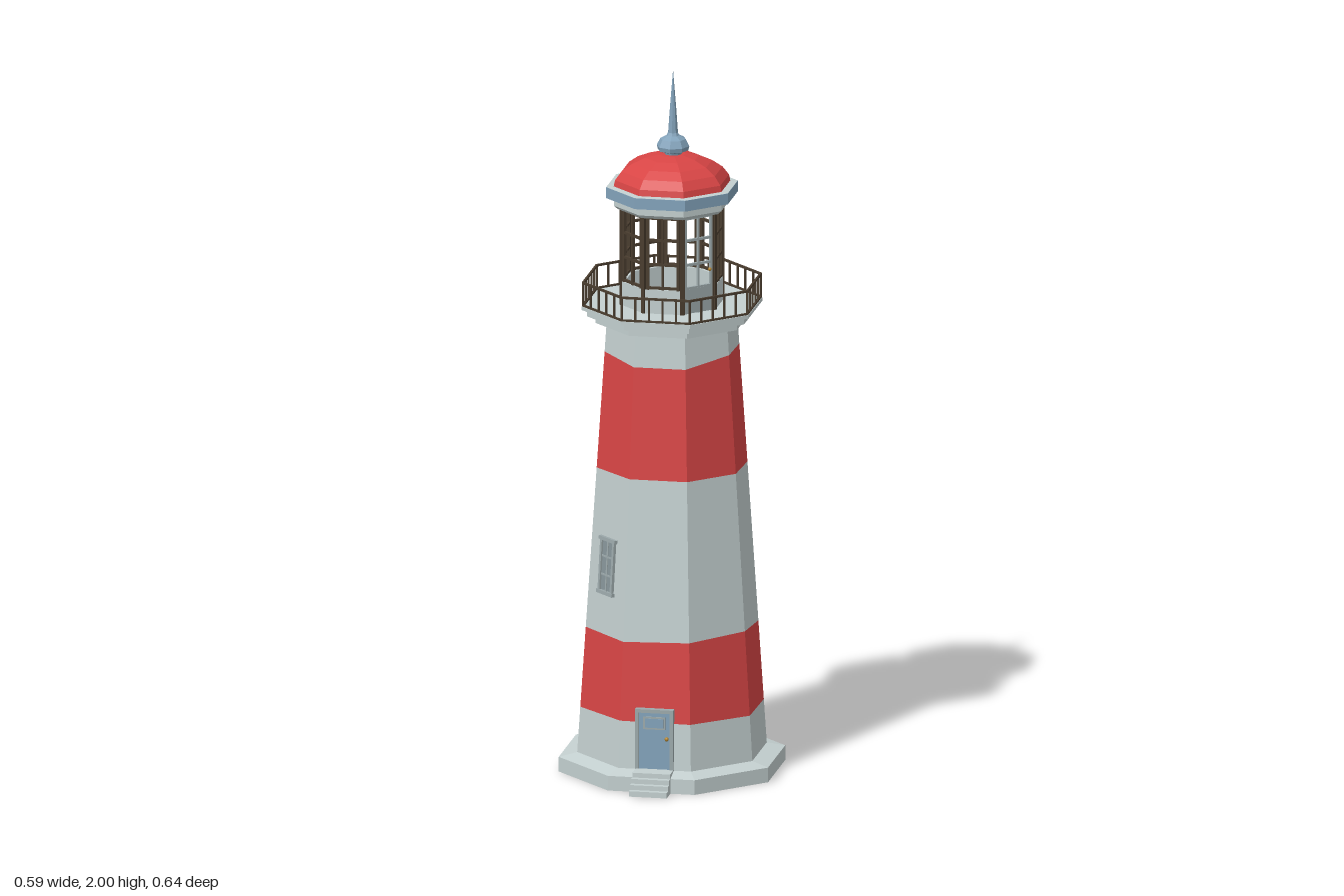
import * as THREE from 'three';

const mat = (name, color) => {
  const m = new THREE.MeshStandardMaterial({ color });
  m.name = name;
  return m;
};

export function createModel() {
  const stone = mat('pale stone', 0xc4d0d0), red = mat('red paint', 0xd84545);
  const blue = mat('slate blue', 0x83a3bb), brown = mat('dark bronze', 0x4a3d2f);
  const gold = mat('brass', 0xb8862b), glow = mat('warm glass', 0xdcb866);
  const trim = mat('grey trim', 0x9daaac), pane = mat('grey glass', 0x87959a);

  const model = new THREE.Group();
  model.name = 'lighthouse';
  const body = new THREE.Group();
  body.name = 'tower group';
  body.position.z = -0.028;
  model.add(body);

  const C = Math.cos(Math.PI / 8), T = Math.tan(Math.PI / 8), Q = Math.PI / 4;
  const flat = (g) => {
    const f = g.index ? g.toNonIndexed() : g;
    f.computeVertexNormals();
    return f;
  };
  const add = (parent, name, geo, m, x = 0, y = 0, z = 0) => {
    const mesh = new THREE.Mesh(geo, m);
    mesh.name = name;
    mesh.position.set(x, y, z);
    parent.add(mesh);
    return mesh;
  };
  const box = (parent, name, w, h, d, m, x, y, z) =>
    add(parent, name, new THREE.BoxGeometry(w, h, d), m, x, y, z);
  // Octagonal solid from [apothem, y] pairs, flat sides towards the axes
  const octagon = (name, pts, m, start = Q / 2, sides = 8) =>
    add(body, name, flat(new THREE.LatheGeometry(
      pts.map(([a, y]) => new THREE.Vector2(a / C, y)), sides, start, sides * Q)), m);
  // Group standing on one wall: local +z points outwards
  const onWall = (name, side, apothem, y, tilt = 0) => {
    const g = new THREE.Group();
    g.name = name;
    g.rotation.order = 'YXZ';
    g.rotation.set(-tilt, side * Q, 0);
    g.position.set(Math.sin(side * Q) * apothem, y, Math.cos(side * Q) * apothem);
    body.add(g);
    return g;
  };

  // Plinth
  octagon('plinth', [[0, 0], [0.296, 0], [0.296, 0.042], [0.245, 0.054], [0, 0.054]], stone);

  // Tapering tower, banded by slightly uneven painted edges at the eight corners
  const apothemAt = (y) => 0.248 - 0.0625 * (y - 0.05);
  const even = (y) => Array(8).fill(y);
  const edges = [
    even(0.05),
    [0.185, 0.182, 0.178, 0.175, 0.177, 0.18, 0.183, 0.187],
    [0.415, 0.422, 0.405, 0.388, 0.39, 0.4, 0.412, 0.41],
    [0.87, 0.87, 0.863, 0.847, 0.85, 0.86, 0.868, 0.87],
    [1.187, 1.207, 1.203, 1.19, 1.19, 1.2, 1.2, 1.187],
    even(1.29),
  ];
  const corner = (k, y) => {
    const r = apothemAt(y) / C, a = Q / 2 + (k % 8) * Q;
    return [r * Math.sin(a), y, r * Math.cos(a)];
  };
  for (let b = 0; b < 5; b++) {
    const pos = [];
    for (let k = 0; k < 8; k++) {
      const n = (k + 1) % 8;
      const p = corner(k, edges[b][k]), q = corner(n, edges[b][n]);
      const r = corner(n, edges[b + 1][n]), s = corner(k, edges[b + 1][k]);
      pos.push(...p, ...q, ...r, ...p, ...r, ...s);
    }
    const g = new THREE.BufferGeometry();
    g.setAttribute('position', new THREE.Float32BufferAttribute(pos, 3));
    add(body, b % 2 ? 'red band' : 'pale band', flat(g), b % 2 ? red : stone);
  }

  // Gallery deck with stepped corbel
  octagon('gallery', [[0, 1.283], [0.2, 1.283], [0.2, 1.303], [0.222, 1.303], [0.222, 1.322],
    [0.236, 1.322], [0.236, 1.332], [0, 1.332]], stone);

  // Gallery railing
  const railA = 0.232, railW = 2 * railA * T;
  for (let s = 0; s < 8; s++) {
    const g = onWall('railing', s, railA, 1.332);
    box(g, 'topRail', railW, 0.006, 0.006, brown, 0, 0.068, 0);
    box(g, 'bottomRail', railW, 0.005, 0.006, brown, 0, 0.003, 0);
    for (let i = 0; i < 5; i++)
      box(g, 'baluster', 0.005, 0.068, 0.005, brown, (i / 5 - 0.5) * railW, 0.034, 0);
  }

  // Lantern parapet, open at the glazed door
  octagon('lanternParapet', [[0.122, 1.332], [0.134, 1.332], [0.134, 1.4], [0.122, 1.4], [0.122, 1.332]],
    stone, 1.5 * Q, 7);

  // Lantern windows and corner posts
  for (let s = 0; s < 8; s++) {
    const door = s === 1, low = door ? 1.332 : 1.4, h = 1.61 - low;
    const g = onWall(door ? 'lanternDoor' : 'lanternWindow', s, 0.13, low);
    const m = door ? trim : brown;
    for (const x of [-0.043, 0, 0.043])
      box(g, 'mullion', x ? 0.008 : 0.006, h, 0.008, m, x, h / 2, 0);
    for (const y of [1.405, 1.472, 1.542, 1.605])
      box(g, 'glazingBar', 0.09, 0.007, 0.007, m, 0, y - low, 0);
    if (door) {
      box(g, 'doorPanel', 0.086, 0.07, 0.008, trim, 0, 0.036, 0);
      for (const x of [-0.049, 0.049]) box(g, 'doorJamb', 0.006, h, 0.01, brown, x, h / 2, 0);
      add(g, 'lanternDoorKnob', new THREE.SphereGeometry(0.005, 8, 6), gold, 0.034, 0.12, 0.008);
    }
    const a = (s + 0.5) * Q, r = 0.131 / C;
    const post = box(body, 'lanternPost', 0.011, 0.278, 0.011, brown, r * Math.sin(a), 1.471, r * Math.cos(a));
    post.rotation.y = a;
  }

  // Cornice, blue gutter and dome
  octagon('cornice', [[0, 1.607], [0.142, 1.607], [0.152, 1.617], [0.152, 1.642], [0, 1.642]], stone);
  octagon('gutter', [[0, 1.64], [0.172, 1.64], [0.172, 1.671], [0, 1.671]], blue);
  octagon('gutterTop', [[0.172, 1.6715], [0.14, 1.6735]], stone);
  octagon('dome', [[0.153, 1.67], [0.149, 1.69], [0.132, 1.714], [0.105, 1.734], [0.07, 1.75],
    [0.035, 1.758], [0, 1.76]], red);

  // Finial and spike
  const finial = [[0.022, 1.752], [0.026, 1.764], [0.043, 1.77], [0.046, 1.782], [0.036, 1.802],
    [0.018, 1.812], [0.014, 1.82], [0.009, 1.89], [0, 2]];
  add(body, 'finial', flat(new THREE.LatheGeometry(
    finial.map(([r, y]) => new THREE.Vector2(r, y)), 8)), blue, 0.003);

  // Entrance door, with frame, upper panel and knob
  const entry = onWall('entrance', 0, 0.244, 0.05);
  box(entry, 'door', 0.09, 0.17, 0.02, blue, 0, 0.085, -0.003);
  for (const x of [-0.049, 0.049]) box(entry, 'doorFrame', 0.01, 0.176, 0.03, trim, x, 0.088, -0.004);
  box(entry, 'doorLintel', 0.108, 0.01, 0.03, trim, 0, 0.172, -0.004);
  box(entry, 'panelFrame', 0.062, 0.036, 0.004, trim, 0, 0.138, 0.008);
  box(entry, 'doorPanel', 0.052, 0.026, 0.004, blue, 0, 0.138, 0.0095);
  add(entry, 'doorKnob', new THREE.SphereGeometry(0.006, 8, 6), gold, 0.036, 0.095, 0.013);

  // Entrance steps
  [0.273, 0.289, 0.305, 0.321].forEach((front, i) => {
    const h = 0.056 - i * 0.0135, back = 0.19;
    box(model, 'step', 0.107, h, front - back, stone, 0.001, h / 2, (front + back) / 2);
  });

  // Tower windows
  const towerWindow = (side, y, glass) => {
    const g = onWall('towerWindow', side, apothemAt(y), y, Math.atan(0.0625));
    box(g, 'glass', 0.058, 0.14, 0.006, glass, 0, 0, 0);
    for (const x of [-0.03, 0.03]) box(g, 'windowFrame', 0.009, 0.15, 0.014, trim, x, 0, 0.001);
    for (const v of [-0.076, 0.076]) box(g, 'windowSill', 0.078, 0.01, 0.018, trim, 0, v, 0.001);
    box(g, 'windowMullion', 0.006, 0.145, 0.008, trim, 0, 0, 0.001);
    for (const v of [-0.026, 0.026]) box(g, 'windowBar', 0.056, 0.005, 0.008, trim, 0, v, 0.001);
  };
  towerWindow(7, 0.605, pane);
  towerWindow(4, 1.01, glow);

  return model;
}
